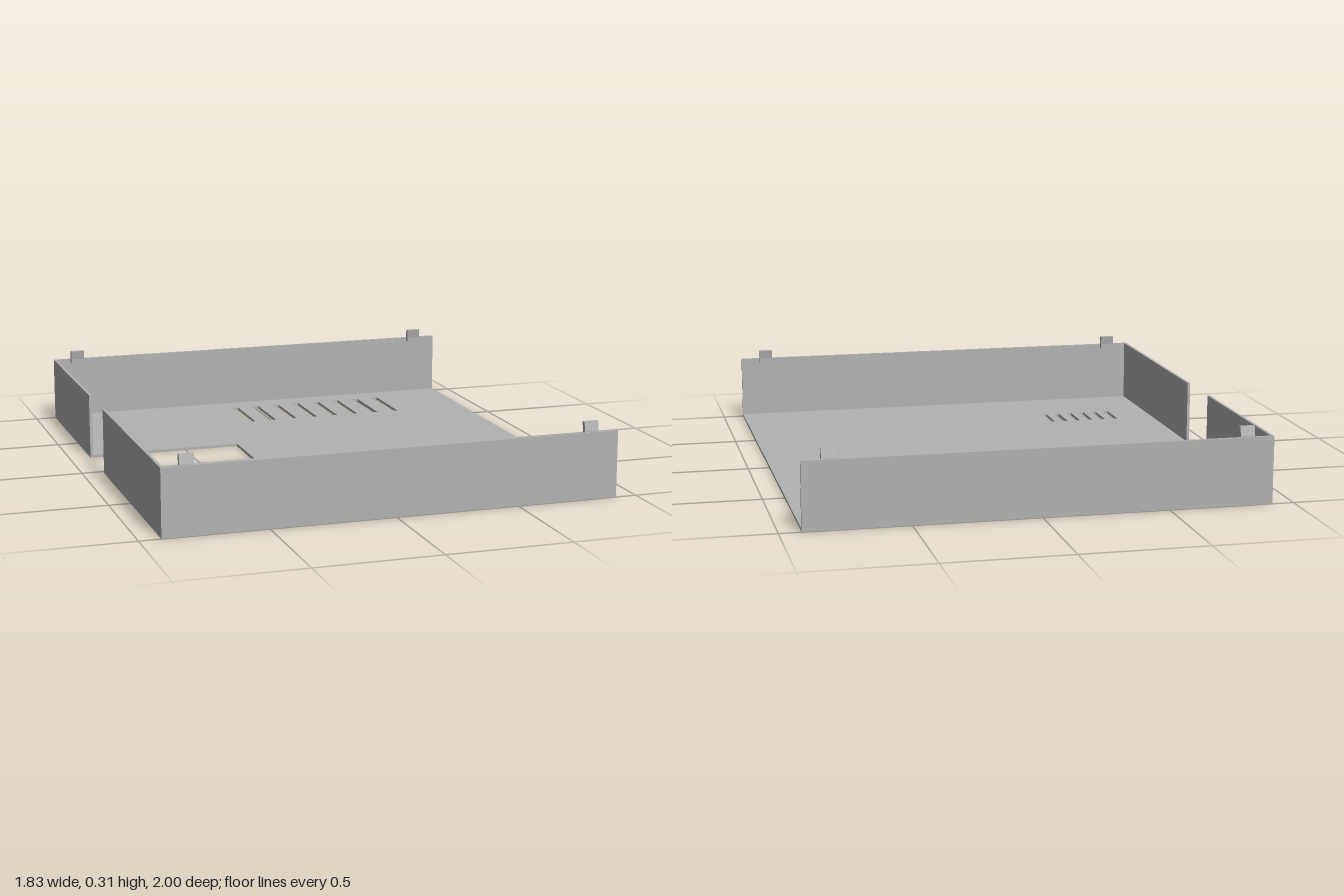
import * as THREE from 'three';

const W = 0.914, D = 1, H = 0.269, T = 0.0115; // half width, half depth, wall height, sheet thickness
const CUT = { x: -0.275, back: -0.237, front: 0.027 }; // cable cutout in the right side

export function createModel() {
  const model = new THREE.Group();
  model.name = 'ventedTray';
  const grey = new THREE.MeshStandardMaterial({ color: 0xb2b2b2 });
  grey.name = 'grey sheet';

  const add = (name, geometry, x = 0, y = 0, z = 0) => {
    const mesh = new THREE.Mesh(geometry, grey);
    mesh.name = name;
    mesh.position.set(x, y, z);
    model.add(mesh);
    return mesh;
  };
  const box = (name, x0, x1, y0, y1, z0, z1) =>
    add(name, new THREE.BoxGeometry(x1 - x0, y1 - y0, z1 - z0), (x0 + x1) / 2, (y0 + y1) / 2, (z0 + z1) / 2);
  const points = (list) => list.map(([x, z]) => new THREE.Vector2(x, -z));

  // Floor plate with side cutout and two rows of vent slots
  const floor = new THREE.Shape(points([
    [-W, D], [W, D], [W, -D], [-W, -D],
    [-W, CUT.back], [CUT.x, CUT.back], [CUT.x, CUT.front], [-W, CUT.front],
  ]));
  const slots = (count, first, pitch, width, z0, z1) => {
    for (let i = 0; i < count; i++) {
      const a = first + i * pitch - width / 2, b = a + width;
      floor.holes.push(new THREE.Path(points([[a, z0], [b, z0], [b, z1], [a, z1]])));
    }
  };
  slots(8, -0.098, 0.0971, 0.029, -0.887, -0.605);
  slots(6, -0.726, 0.0583, 0.021, 0.529, 0.686);
  const plate = new THREE.ExtrudeGeometry(floor, { depth: T, bevelEnabled: false });
  plate.rotateX(-Math.PI / 2);
  add('floor', plate);

  // Walls on three sides; the left side stays open
  box('frontWall', -W, W, T, H, D - T, D);
  box('backWall', -W, W, T, H, -D, -D + T);
  box('rightWallFront', -W, -W + T, T, H, CUT.front, D - T);
  box('rightWallBack', -W, -W + T, T, H, -D + T, CUT.back);

  // Snap clips standing on the inside of the front and back walls
  const clipWidth = 0.058;
  const profile = new THREE.Shape([
    [0, 0.252], [0.019, 0.252], [0.019, 0.272], [0.025, 0.308], [0.007, 0.308], [0, 0.272],
  ].map(([x, y]) => new THREE.Vector2(x, y)));
  const clip = new THREE.ExtrudeGeometry(profile, { depth: clipWidth, bevelEnabled: false });
  clip.translate(0, 0, -clipWidth / 2);
  for (const side of [-1, 1]) {
    for (const x of [-0.811, 0.807]) {
      const mesh = add(side > 0 ? 'frontClip' : 'backClip', clip, x, 0, side * (D - T));
      mesh.rotation.y = side * Math.PI / 2;
    }
  }
  return model;
}
